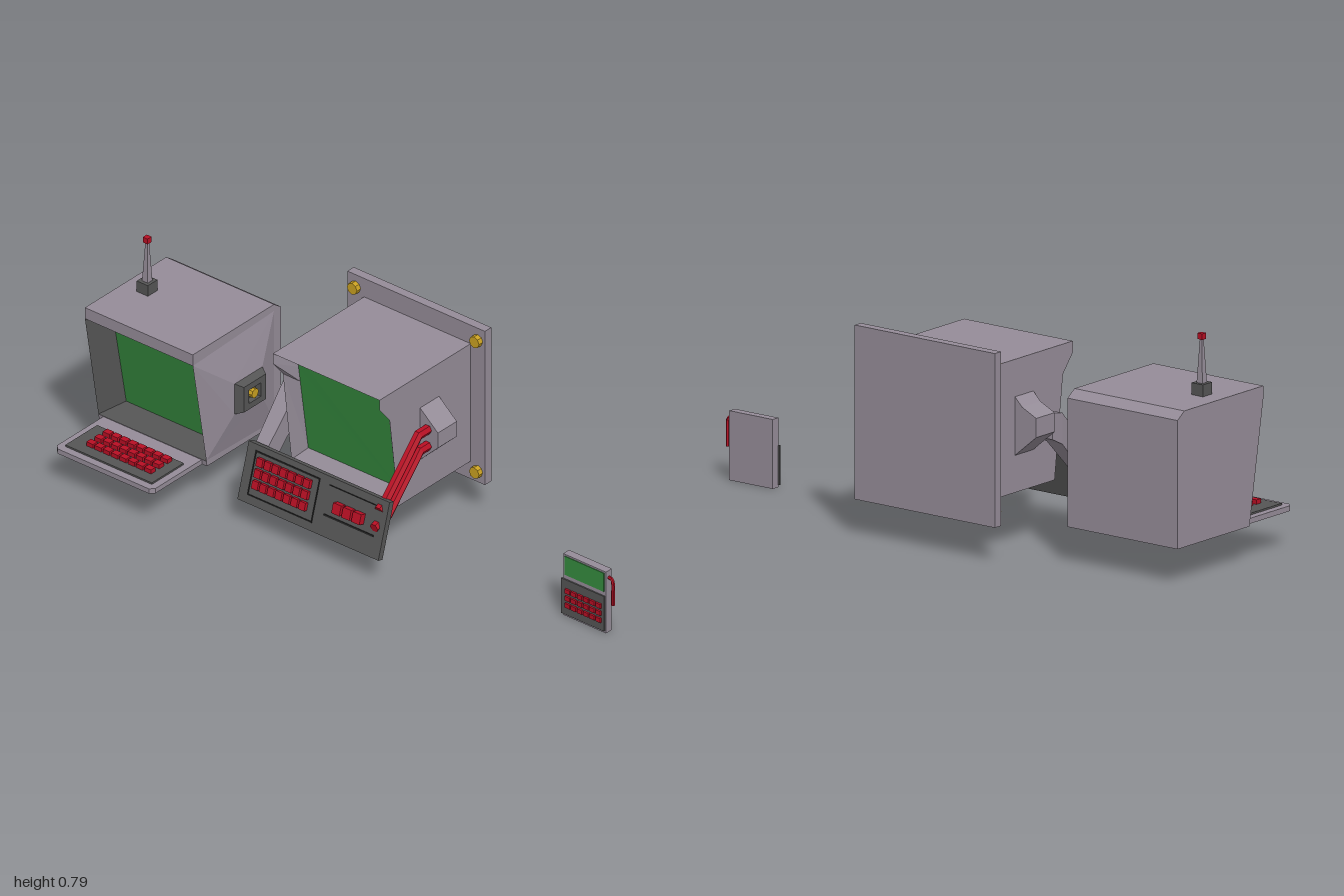
import * as THREE from 'three';

const mat = (name, color, flat = true) => {
  const m = new THREE.MeshStandardMaterial({ color, flatShading: flat });
  m.name = name;
  return m;
};

export function createModel() {
  const casing = mat('casing lilac grey', 0x958c98);
  const dark = mat('dark grey', 0x555555);
  const black = mat('black line', 0x222222);
  const green = mat('screen green', 0x358a3e);
  const red = mat('red', 0xb80f24);
  const gold = mat('gold', 0xc9a021);

  const root = new THREE.Group();
  const group = (name, parent = root) => {
    const g = new THREE.Group();
    g.name = name;
    parent.add(g);
    return g;
  };
  const add = (parent, name, geo, material) => {
    const m = new THREE.Mesh(geo, material);
    m.name = name;
    parent.add(m);
    return m;
  };
  // Box from its limits on each axis
  const box = (parent, name, material, x0, x1, y0, y1, z0, z1) => {
    const m = add(parent, name, new THREE.BoxGeometry(x1 - x0, y1 - y0, z1 - z0), material);
    m.position.set((x0 + x1) / 2, (y0 + y1) / 2, (z0 + z1) / 2);
    return m;
  };
  // Skin through loops of points, with optional end caps
  const loft = (loops, capStart = false, capEnd = false) => {
    const v = [];
    const tri = (a, b, c) => v.push(...a, ...b, ...c);
    const n = loops[0].length;
    for (let k = 0; k + 1 < loops.length; k++) {
      for (let i = 0; i < n; i++) {
        const j = (i + 1) % n, A = loops[k], B = loops[k + 1];
        tri(A[i], A[j], B[j]);
        tri(A[i], B[j], B[i]);
      }
    }
    const s = loops[0], e = loops[loops.length - 1];
    for (let i = 1; i + 1 < n; i++) {
      if (capStart) tri(s[0], s[i + 1], s[i]);
      if (capEnd) tri(e[0], e[i], e[i + 1]);
    }
    const g = new THREE.BufferGeometry();
    g.setAttribute('position', new THREE.Float32BufferAttribute(v, 3));
    g.computeVertexNormals();
    return g;
  };
  // Loop from a bottom-to-top list of [y, z], mirrored on both sides
  const ring = (x0, x1, p) => [
    ...p.map(([y, z]) => [x1, y, z]),
    ...[...p].reverse().map(([y, z]) => [x0, y, z]),
  ];
  const sideRect = (x, y0, y1, z0, z1) => [[x, y0, z0], [x, y1, z0], [x, y1, z1], [x, y0, z1]];
  // Mitred hexagonal pipe along [y, z] points
  const pipe = (x, path, r) => {
    const dir = (a, b) => new THREE.Vector2(b[0] - a[0], b[1] - a[1]).normalize();
    return loft(path.map((p, i) => {
      const d0 = dir(path[Math.max(i - 1, 0)], path[Math.max(i, 1)]);
      const last = path.length - 1;
      const d1 = dir(path[Math.min(i, last - 1)], path[Math.min(i + 1, last)]);
      const t = d0.clone().add(d1).normalize(), s = r / t.dot(d0);
      return Array.from({ length: 6 }, (_, k) => {
        const a = (k * Math.PI) / 3, n = Math.sin(a) * s;
        return [x + Math.cos(a) * r, p[0] + t.y * n, p[1] - t.x * n];
      });
    }), true, true);
  };

  // ---- Desk terminal ----
  const desk = group('deskTerminal');
  const dp = [[0.125, 0.137], [0.145, 0.14], [0.538, 0.208], [0.58, 0.208]];
  const dx0 = -1, dx1 = -0.545;
  add(desk, 'deskCasing', loft([
    ring(dx0, dx1, dp.map(([y]) => [Math.min(y, 0.53 + y * 0.043), -0.235])),
    ring(dx0, dx1, dp.map(([y]) => [y, -0.2])),
    ring(dx0, dx1, dp),
  ], true), casing);
  add(desk, 'deskHoodFront', loft([ring(dx0, dx1, dp.slice(2))], false, true), casing);
  add(desk, 'deskLowerLip', loft([ring(dx0, dx1, dp.slice(0, 2))], false, true), casing);
  const deskScreen = ring(-0.967, -0.578, [[0.16, 0.04], [0.535, 0.11]]);
  add(desk, 'deskScreenSurround', loft([ring(dx0, dx1, dp.slice(1, 3)), deskScreen]), dark);
  add(desk, 'deskScreen', loft([deskScreen], false, true), green);

  // Side socket
  add(desk, 'sideFrustum', loft([
    [[-0.545, 0.14, -0.2], [-0.545, 0.555, -0.2], [-0.545, 0.538, 0.207], [-0.545, 0.148, 0.139]],
    sideRect(-0.51, 0.29, 0.405, -0.1, 0.04),
  ], false, true), casing);
  const socketRim = sideRect(-0.483, 0.3, 0.395, -0.085, 0.025);
  const socketHole = sideRect(-0.483, 0.322, 0.373, -0.06, 0);
  const socketFloor = sideRect(-0.505, 0.322, 0.373, -0.06, 0);
  add(desk, 'socket', loft([
    sideRect(-0.511, 0.29, 0.405, -0.1, 0.04), socketRim, socketHole, socketFloor,
  ], false, true), dark);
  const pin = add(desk, 'socketPin', new THREE.CylinderGeometry(0.017, 0.017, 0.025, 8), gold);
  pin.rotation.z = Math.PI / 2;
  pin.position.set(-0.494, 0.348, -0.03);

  // Antenna
  box(desk, 'antennaBase', dark, -0.936, -0.889, 0.58, 0.62, -0.024, 0.024);
  const mast = add(desk, 'antennaMast', new THREE.CylinderGeometry(0.006, 0.017, 0.15, 4), casing);
  mast.rotation.y = Math.PI / 4;
  mast.position.set(-0.912, 0.693, 0);
  box(desk, 'antennaTip', red, -0.922, -0.902, 0.765, 0.785, -0.01, 0.01);

  // Keyboard tray with cut front corners
  const trayLoop = (y) => [[-0.98, y, 0.137], [-0.98, y, 0.372], [-0.965, y, 0.387],
    [-0.58, y, 0.387], [-0.565, y, 0.372], [-0.565, y, 0.137]];
  add(desk, 'keyboardTray', loft([trayLoop(0.125), trayLoop(0.143)], true, true), casing);
  box(desk, 'trayUnderside', dark, -0.972, -0.573, 0.122, 0.126, 0.15, 0.372);
  box(desk, 'keyboardPanel', dark, -0.955, -0.59, 0.142, 0.149, 0.2, 0.36);
  for (let r = 0; r < 3; r++) {
    for (let c = 0; c < 8; c++) {
      const x = -0.9 + c * 0.035, z = 0.215 + r * 0.041;
      box(desk, 'deskKey', red, x, x + 0.028, 0.148, 0.164, z, z + 0.023);
    }
  }

  // ---- Wall terminal ----
  const wall = group('wallTerminal');
  box(wall, 'wallPlate', casing, -0.365, 0.215, 0.123, 0.705, -0.386, -0.354);
  for (const x of [-0.33, 0.185]) {
    for (const y of [0.165, 0.66]) {
      const bolt = add(wall, 'plateBolt', new THREE.CylinderGeometry(0.021, 0.021, 0.02, 8), gold);
      bolt.rotation.x = Math.PI / 2;
      bolt.position.set(x, y, -0.345);
    }
  }
  const wp = [[0.19, 0.01], [0.535, 0.053], [0.597, 0.104], [0.635, 0.104]];
  const wallRim = ring(-0.295, 0.155, wp);
  add(wall, 'wallCasing', loft([ring(-0.295, 0.155, wp.map(([y]) => [y, -0.355])), wallRim]), casing);
  const wallScreen = ring(-0.258, 0.118, [[0.23, -0.03], [0.5, 0.01], [0.56, 0.019], [0.605, 0.026]]);
  add(wall, 'wallScreenSurround', loft([wallRim, wallScreen]), casing);
  add(wall, 'wallScreen', loft([wallScreen], false, true), green);

  // Side brackets
  const bracket = (name, pts) => {
    const s = new THREE.Shape(pts.map(([x, y]) => new THREE.Vector2(x, y)));
    add(wall, name, new THREE.ExtrudeGeometry(s, { depth: 0.095, bevelEnabled: false }), casing)
      .position.z = -0.195;
  };
  bracket('leftBracket', [[0.15, 0.31], [0.23, 0.388], [0.23, 0.445], [0.15, 0.515]]);
  bracket('rightBracket', [[-0.29, 0.31], [-0.29, 0.515], [-0.325, 0.48], [-0.383, 0.452], [-0.383, 0.388]]);

  // Red pipes on one side, broad casing arm on the other
  add(wall, 'upperPipe', pipe(0.187, [[0.443, -0.11], [0.443, -0.052], [0.265, 0.118], [0.25, 0.145]], 0.017), red);
  add(wall, 'lowerPipe', pipe(0.187, [[0.381, -0.11], [0.381, -0.06], [0.213, 0.1], [0.195, 0.17]], 0.017), red);
  add(wall, 'supportArm', loft([
    [-0.1, 0.36, 0.45, -0.375, -0.31], [-0.05, 0.335, 0.44, -0.375, -0.31], [0.135, 0.15, 0.25, -0.36, -0.31],
  ].map(([z, y0, y1, x0, x1]) => [[x0, y0, z], [x1, y0, z], [x1, y1, z], [x0, y1, z]]), true, true), casing);

  // Tilted control panel
  const panel = group('controlPanel', wall);
  panel.position.set(-0.074, 0.189, 0.152);
  panel.rotation.x = -0.289;
  box(panel, 'panelSlab', dark, -0.297, 0.297, -0.101, 0.101, -0.011, 0.011);
  const line = (x0, x1, y0, y1) => box(panel, 'panelLine', black, x0, x1, y0, y1, 0.01, 0.014);
  line(-0.262, 0.01, 0.076, 0.081);
  line(-0.262, 0.01, -0.073, -0.069);
  line(-0.262, -0.258, -0.07, 0.078);
  line(0.006, 0.01, -0.07, 0.078);
  line(0.05, 0.26, -0.032, -0.026);
  line(0.05, 0.26, 0.072, 0.075);
  for (let r = 0; r < 3; r++) {
    for (let c = 0; c < 7; c++) {
      const x = -0.243 + c * 0.033, y = 0.036 - r * 0.039;
      box(panel, 'panelKey', red, x, x + 0.026, y, y + 0.028, 0.01, 0.025);
    }
  }
  for (let c = 0; c < 3; c++) {
    const x = 0.094 + c * 0.042;
    box(panel, 'panelButton', red, x, x + 0.034, -0.005, 0.031, 0.01, 0.034);
  }

  // ---- Handheld unit ----
  const hand = group('handheldUnit');
  box(hand, 'handheldBody', casing, 0.795, 0.975, 0, 0.232, -0.086, -0.057);
  box(hand, 'handheldScreen', green, 0.802, 0.968, 0.156, 0.226, -0.058, -0.054);
  box(hand, 'handheldKeypad', dark, 0.79, 0.97, 0.008, 0.14, -0.058, -0.052);
  for (let r = 0; r < 3; r++) {
    for (let c = 0; c < 6; c++) {
      const x = 0.81 + c * 0.026, y = 0.093 - r * 0.027;
      box(hand, 'handheldKey', red, x, x + 0.021, y, y + 0.016, -0.053, -0.045);
    }
  }
  const grip = new THREE.CatmullRomCurve3([
    [0.97, 0.206], [0.988, 0.204], [0.993, 0.19], [0.993, 0.15], [0.993, 0.107],
  ].map(([x, y]) => new THREE.Vector3(x, y, -0.071)));
  add(hand, 'handheldAerial', new THREE.TubeGeometry(grip, 14, 0.006, 6), red);

  return root;
}
